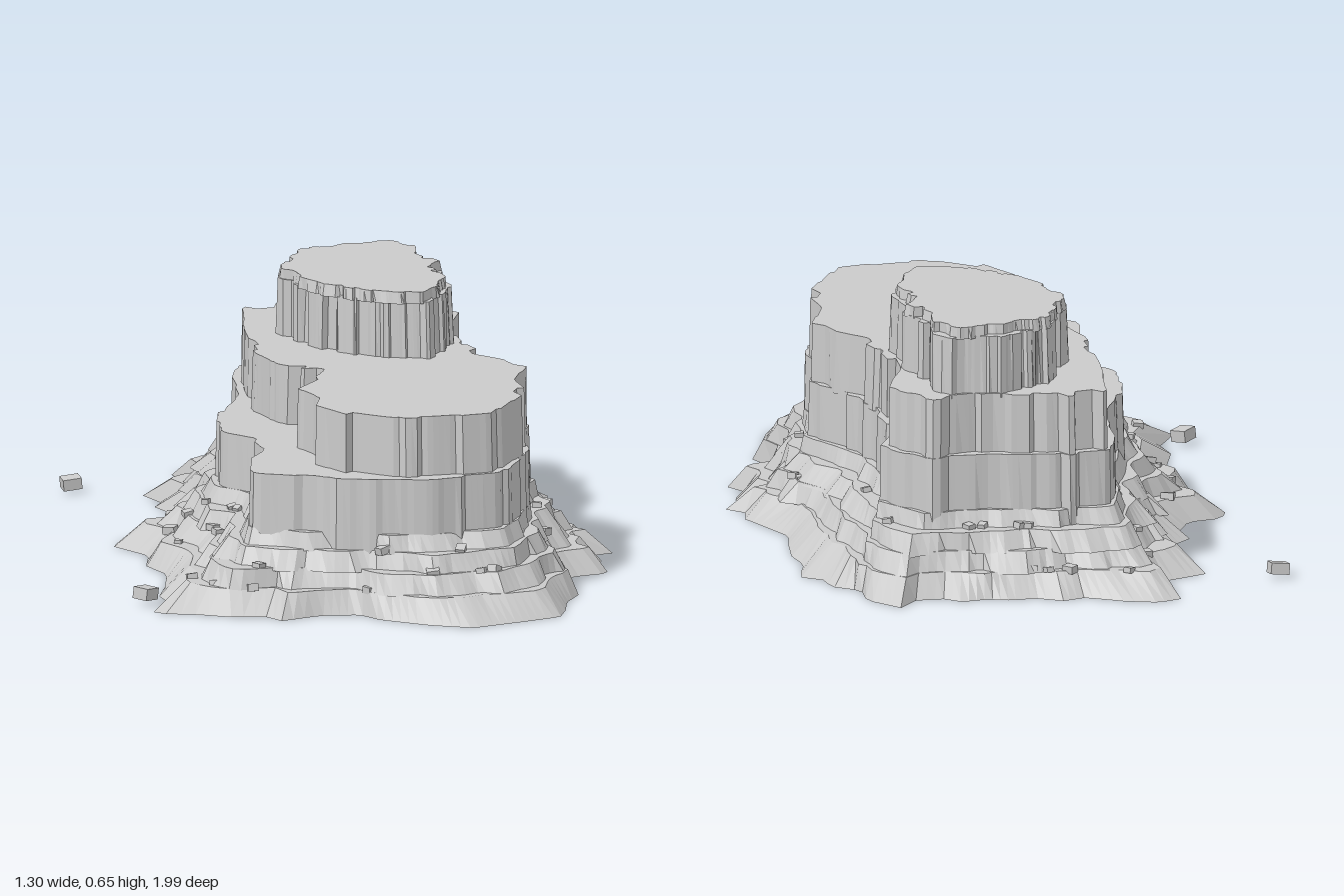
import * as THREE from 'three';

// Seeded random numbers in the range -1..1
let seed = 7;
function rnd() {
  seed = (seed * 16807) % 2147483647;
  return (seed / 2147483647) * 2 - 1;
}

// Outlines as x, z pairs seen from above
const BASE = [
  -.27, -.97, -.19, -1, -.11, -.97, -.02, -.91, .04, -.93, .1, -.89, .18, -.89, .22, -.87, .29, -.88, .33, -.84,
  .4, -.84, .45, -.91, .52, -.81, .51, -.71, .58, -.65, .57, -.59, .63, -.54, .59, -.42, .6, -.33, .58, -.21,
  .56, -.13, .59, -.04, .63, .08, .6, .12, .66, .17, .57, .2, .61, .27, .56, .33, .6, .41, .49, .44,
  .47, .51, .42, .58, .47, .65, .42, .74, .4, .83, .37, .91, .27, .95, .13, 1, .03, .95, -.08, .86,
  -.12, .79, -.22, .78, -.34, .83, -.34, .77, -.45, .75, -.51, .71, -.63, .67, -.56, .56, -.57, .47, -.53, .35,
  -.5, .21, -.53, .1, -.5, -.02, -.57, -.16, -.52, -.21, -.45, -.22, -.39, -.34, -.43, -.37, -.35, -.45, -.35, -.55,
  -.37, -.6, -.34, -.66, -.38, -.74, -.26, -.79, -.2, -.87];
const LOWER = [
  -.13, -.73, .03, -.73, .18, -.69, .34, -.69, .42, -.54, .35, -.4, .35, -.18, .36, -.05, .43, .08, .44, .14,
  .38, .29, .39, .4, .34, .54, .26, .7, .08, .73, -.02, .72, -.16, .67, -.25, .62, -.36, .57, -.32, .4,
  -.26, .3, -.26, .16, -.34, .06, -.3, -.1, -.26, -.24, -.2, -.37, -.18, -.56];
const MIDDLE = [
  -.12, -.7, .03, -.72, .16, -.67, .32, -.68, .41, -.53, .33, -.4, .33, -.18, .34, -.05, .41, .06, .42, .13,
  .36, .29, .37, .4, .32, .53, .24, .68, .08, .71, -.02, .69, -.12, .61, -.17, .48, -.14, .4, -.17, .27,
  -.1, .2, -.09, .08, -.17, -.02, -.18, -.18, -.18, -.34, -.16, -.5];
const PILLAR = [
  .13, -.64, .24, -.64, .29, -.57, .27, -.48, .31, -.37, .27, -.31, .29, -.2, .26, -.1, .2, -.01, .08, -.06,
  -.02, -.16, -.06, -.26, -.09, -.37, -.04, -.5, 0, -.58];

const N = 180;
const dir = i => {
  const a = (i / N) * Math.PI * 2;
  return [Math.cos(a) * 0.6, Math.sin(a)];
};

// Distance from the centre to an outline along each of N directions
function radii(outline, [cx, cz]) {
  return Array.from({ length: N }, (_, i) => {
    const [dx, dz] = dir(i);
    let best = 0;
    for (let k = 0; k < outline.length; k += 2) {
      const m = (k + 2) % outline.length;
      const ax = outline[k] - cx, az = outline[k + 1] - cz;
      const ex = outline[m] - cx - ax, ez = outline[m + 1] - cz - az;
      const det = dx * ez - dz * ex;
      if (Math.abs(det) < 1e-9) continue;
      const t = (ax * ez - az * ex) / det;
      const s = (ax * dz - az * dx) / det;
      if (t > 0 && s >= -1e-6 && s <= 1 + 1e-6) best = Math.max(best, t);
    }
    return best;
  });
}

// Uneven steps that hold for a few directions, like upright rock columns
function columns(amount) {
  const out = [];
  while (out.length < N) {
    const v = rnd() * amount, run = 2 + Math.floor((rnd() + 1) * 1.9);
    for (let k = 0; k < run; k++) out.push(v / Math.hypot(...dir(out.length)));
  }
  return out;
}

// Zigzag of straight facets between random corners
function facets(amount, step) {
  const corners = Array.from({ length: N / step }, () => rnd() * amount);
  return Array.from({ length: N }, (_, i) => {
    const k = Math.floor(i / step), f = (i % step) / step;
    return (corners[k] * (1 - f) + corners[(k + 1) % corners.length] * f) / Math.hypot(...dir(i));
  });
}

const ring = (rs, [cx, cz], y) => rs.map((r, i) => {
  const [dx, dz] = dir(i);
  return [cx + dx * r, y, cz + dz * r];
});

// Faceted wall between two rings, closed on top and open below
function tier(lower, upper, [cx, cz], y) {
  const pos = [];
  const tri = (...p) => p.forEach(v => pos.push(...v));
  for (let i = 0; i < N; i++) {
    const j = (i + 1) % N;
    tri(lower[i], upper[i], upper[j]);
    tri(lower[i], upper[j], lower[j]);
    tri([cx, y, cz], upper[j], upper[i]);
  }
  const geo = new THREE.BufferGeometry();
  geo.setAttribute('position', new THREE.Float32BufferAttribute(pos, 3));
  geo.computeVertexNormals();
  return geo;
}

export function createModel() {
  seed = 7;
  const group = new THREE.Group();
  group.name = 'rockMesa';
  const stone = new THREE.MeshStandardMaterial({ color: 0xcacaca, flatShading: true, side: THREE.DoubleSide });
  stone.name = 'grey stone';
  const add = (geo, name) => {
    const mesh = new THREE.Mesh(geo, stone);
    mesh.name = name;
    group.add(mesh);
    return mesh;
  };

  const centre = [0.06, 0], pillarCentre = [0.1, -0.33];
  const base = radii(BASE, centre);
  const middle = radii(MIDDLE, centre);
  const lower = radii(LOWER, centre);
  const pillar = radii(PILLAR, pillarCentre);

  // Rubble skirt: four sloping, ragged tiers from the ground to the cliff
  const at = (i, t) => base[i] + (lower[i] + 0.008 - base[i]) * t;
  const skirt = [[0, 0, .32, .06], [.37, .055, .55, .107], [.58, .1, .74, .15], [.86, .145, .97, .19]];
  skirt.forEach(([t0, y0, t1, y1], k) => {
    const rough = k === 3 ? 0.012 : 0.026;
    const shift = facets(rough, 3), chip = columns(rough * 0.6), notch = facets(rough * 0.6, 4);
    const foot = base.map((_, i) => at(i, t0) + (k ? shift[i] + chip[i] : 0));
    const brow = base.map((_, i) => at(i, t1) + shift[i] * 0.8 + notch[i]);
    add(tier(ring(foot, centre, y0), ring(brow, centre, y1), centre, y1), 'rubbleTier');
  });

  // Cliff tiers with column-like faces
  const cliff = (rs, c, y0, y1, rough, name) => {
    const cut = columns(rough), bend = facets(rough * 0.4, 5), flare = columns(0.004);
    const top = rs.map((r, i) => r + cut[i] + bend[i]);
    const foot = top.map((r, i) => r + 0.006 + flare[i]);
    add(tier(ring(foot, c, y0), ring(top, c, y1), c, y1), name);
    return top;
  };
  const midTop = cliff(middle, centre, .32, .48, .02, 'middleCliff');
  cliff(lower.map((r, i) => Math.max(r, midTop[i] + 0.016)), centre, .14, .33, .012, 'lowerCliff');
  cliff(pillar.map(r => r + 0.01), [0.112, -0.335], .47, .625, .014, 'upperCliff');
  cliff(pillar, pillarCentre, .62, .65, .012, 'summitCap');

  // Loose stones scattered on the ledges
  const stoneBox = (x, y, z, s, name) => {
    const m = add(new THREE.BoxGeometry(s, s * 0.6, s * 0.85), name);
    m.position.set(x, y, z);
    m.rotation.set(rnd() * 0.25, rnd() * 3, rnd() * 0.25);
    return m;
  };
  const ledges = [[.35, .063], [.58, .11], [.82, .155]];
  for (let n = 0; n < 36; n++) {
    const i = Math.floor((rnd() + 1) * 0.4999 * N), [t, y] = ledges[n % 3];
    const [dx, dz] = dir(i), r = at(i, t);
    stoneBox(centre[0] + dx * r, y, centre[1] + dz * r, 0.026 + rnd() * 0.007, 'ledgeStone');
  }

  // Two stray boulders beside the skirt
  stoneBox(-.62, .028, .55, .05, 'strayBoulder').rotation.set(.1, .75, -.15);
  stoneBox(-.54, .025, -.82, .048, 'strayBoulder').rotation.set(.1, .05, .1);
  return group;
}
